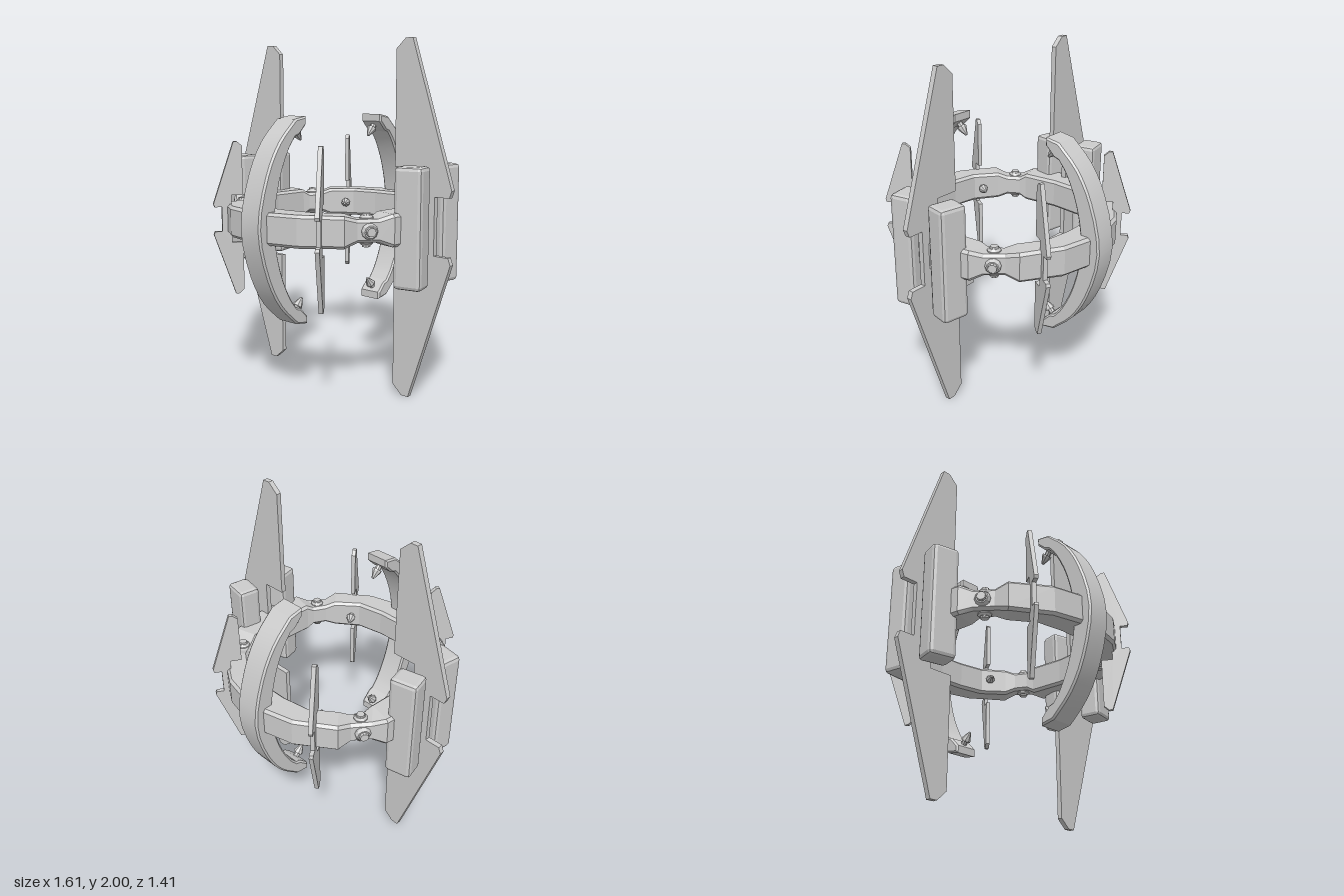
import * as THREE from 'three';
import { toCreasedNormals } from 'three/addons/utils/BufferGeometryUtils.js';
import { RoundedBoxGeometry } from 'three/addons/geometries/RoundedBoxGeometry.js';

const V = (x, y, z) => new THREE.Vector3(x, y, z);
const grey = new THREE.MeshStandardMaterial({ color: 0xcccccc });
const greyFlat = new THREE.MeshStandardMaterial({ color: 0xcccccc, flatShading: true });
const MID = 1; // height of the ring plane

// Horizontal ring: bevelled section swept through one quadrant of stations, mirrored twice
function ringGeometry() {
  // outer x, outer z, inner x, inner z, half height
  const quadrant = [
    [0.08, 0.65, 0.08, 0.49, 0.088],
    [0.25, 0.61, 0.24, 0.465, 0.088],
    [0.46, 0.475, 0.365, 0.37, 0.085],
    [0.48, 0.395, 0.405, 0.325, 0.062],
    [0.555, 0.305, 0.445, 0.255, 0.062],
    [0.615, 0.255, 0.46, 0.215, 0.088],
    [0.66, 0, 0.48, 0, 0.088],
  ];
  const flip = (list, sx, sz) => list.map(([a, b, c, d, h]) => [a * sx, b * sz, c * sx, d * sz, h]).reverse();
  const half = [...quadrant, ...flip(quadrant.slice(0, -1), 1, -1)];
  const stations = [...half, ...flip(half, -1, 1)];
  // t runs from the outer (0) to the inner (1) side
  const section = ([ox, oz, ix, iz, h]) => {
    const c = 0.016, k = c / Math.hypot(ox - ix, oz - iz);
    return [[0, c - h], [0, h - c], [k, h], [1 - k, h], [1, h - c], [1, c - h], [1 - k, -h], [k, -h]]
      .map(([t, y]) => [ox + (ix - ox) * t, MID + y, oz + (iz - oz) * t]);
  };
  const n = 8, m = stations.length, index = [];
  for (let i = 0; i < m; i++) {
    for (let j = 0; j < n; j++) {
      const a = i * n + j, d = i * n + (j + 1) % n;
      const b = ((i + 1) % m) * n + j, c = ((i + 1) % m) * n + (j + 1) % n;
      index.push(a, b, c, a, c, d);
    }
  }
  const g = new THREE.BufferGeometry();
  g.setAttribute('position', new THREE.Float32BufferAttribute(stations.map(section).flat(2), 3));
  g.setIndex(index);
  g.computeVertexNormals();
  return g;
}

// Upright claw arc, drawn in the z-y plane
function clawGeometry() {
  const curve = (pts, count) => {
    const up = pts.map(([z, y]) => V(z, y, 0));
    const down = up.slice(0, -1).reverse().map((p) => V(p.x, -p.y, 0));
    return new THREE.CatmullRomCurve3([...up, ...down]).getPoints(count);
  };
  const outer = curve([[0.42, 0.57], [0.545, 0.45], [0.64, 0.28], [0.705, 0]], 18);
  const inner = curve([[0.42, 0.475], [0.47, 0.41], [0.545, 0.24], [0.585, 0]], 18).reverse();
  const ring = [
    [0.334, 0.585], ...outer.map((p) => [p.x, p.y]), [0.334, -0.585], [0.334, -0.54], [0.39, -0.485],
    ...inner.map((p) => [p.x, p.y]), [0.39, 0.485], [0.334, 0.54],
  ];
  const shape = new THREE.Shape(ring.map(([z, y]) => new THREE.Vector2(z, y)));
  const b = 0.01, width = 0.15;
  const g = new THREE.ExtrudeGeometry(shape, {
    depth: width - 2 * b, bevelThickness: b, bevelSize: b, bevelOffset: -b, bevelSegments: 1,
  });
  g.translate(0, 0, b - width / 2).rotateY(-Math.PI / 2);
  return toCreasedNormals(g, 0.5);
}

// Paired upper and lower blade joined by a stalk, lying in the x-y plane
function bladeGeometry(thickness) {
  const upper = [[0.58, 0.31], [0.44, 0.31], [0.44, 0.945], [0.5, 1], [0.545, 1], [0.805, 0.2], [0.79, 0.16], [0.7, 0.16]];
  const lower = upper.map(([x, y]) => [x, -y]).reverse();
  const shape = new THREE.Shape([...upper, ...lower].map(([x, y]) => new THREE.Vector2(x, y)));
  return new THREE.ExtrudeGeometry(shape, { depth: thickness, bevelEnabled: false }).translate(0, 0, -thickness / 2);
}

const lathe = (pts, sides) =>
  new THREE.LatheGeometry(pts.map(([r, y]) => new THREE.Vector2(r, y)), sides);

export function createModel() {
  const root = new THREE.Group();
  const add = (name, geometry, position, material = greyFlat) => {
    const mesh = new THREE.Mesh(geometry, material);
    mesh.name = name;
    mesh.position.copy(position);
    root.add(mesh);
    return mesh;
  };
  const aim = (mesh, dir) => mesh.quaternion.setFromUnitVectors(V(0, 1, 0), dir.normalize());

  add('ring', ringGeometry(), V(0, 0, 0));

  const claw = clawGeometry();
  const blade = bladeGeometry(0.03);
  const smallBlade = bladeGeometry(0.024).translate(-0.44, 0, 0).scale(0.46, 0.44, 1).translate(0.56, 0, 0);
  const pod = new RoundedBoxGeometry(0.16, 0.655, 0.13, 1, 0.022);
  const stud = lathe([[0.018, -0.01], [0.018, 0.025], [0.028, 0.025], [0.028, 0.035], [0.007, 0.085], [0, 0.085]], 8);
  const bolt = lathe([[0.038, -0.02], [0.038, 0.008], [0.028, 0.02], [0.024, 0.02], [0.022, 0.03], [0, 0.03]], 10);
  const hub = lathe([[0.044, -0.05], [0.044, 0.015], [0.034, 0.03], [0.027, 0.03], [0.024, 0.045], [0, 0.045]], 10);

  // Front and back claws with a stud at each tip
  for (const s of [1, -1]) {
    add('clawArc', claw, V(0, MID, 0), grey).rotation.y = s > 0 ? 0 : Math.PI;
    for (const u of [1, -1]) {
      aim(add('clawStud', stud, V(0, MID + u * 0.515, s * 0.362)), V(0, -u * 0.055, -s * 0.05));
    }
  }

  // Large side blades
  for (const s of [1, -1]) {
    add('sideBlade', blade, V(0, MID, 0)).rotation.y = s > 0 ? 0 : Math.PI;
  }

  // Parts repeated in all four quadrants
  for (const sx of [1, -1]) {
    for (const sz of [1, -1]) {
      add('sidePod', pod, V(sx * 0.642, MID + 0.003, sz * 0.142)).rotation.y = sx * sz * 0.2;
      add('diagonalBlade', smallBlade, V(0, MID, 0)).rotation.y = Math.atan2(sx * 0.54, sz * 0.84) - Math.PI / 2;
      aim(add('ringStud', stud, V(sx * 0.28, MID, sz * 0.436)), V(-sx * 0.54, 0, -sz * 0.84));
      aim(add('hingeHub', hub, V(sx * 0.515, MID, sz * 0.342)), V(sx * 0.83, 0, sz * 0.55));
      for (const u of [1, -1]) {
        aim(add('hingeBolt', bolt, V(sx * 0.475, MID + u * 0.06, sz * 0.315)), V(0, u, 0));
      }
    }
  }
  return root;
}
